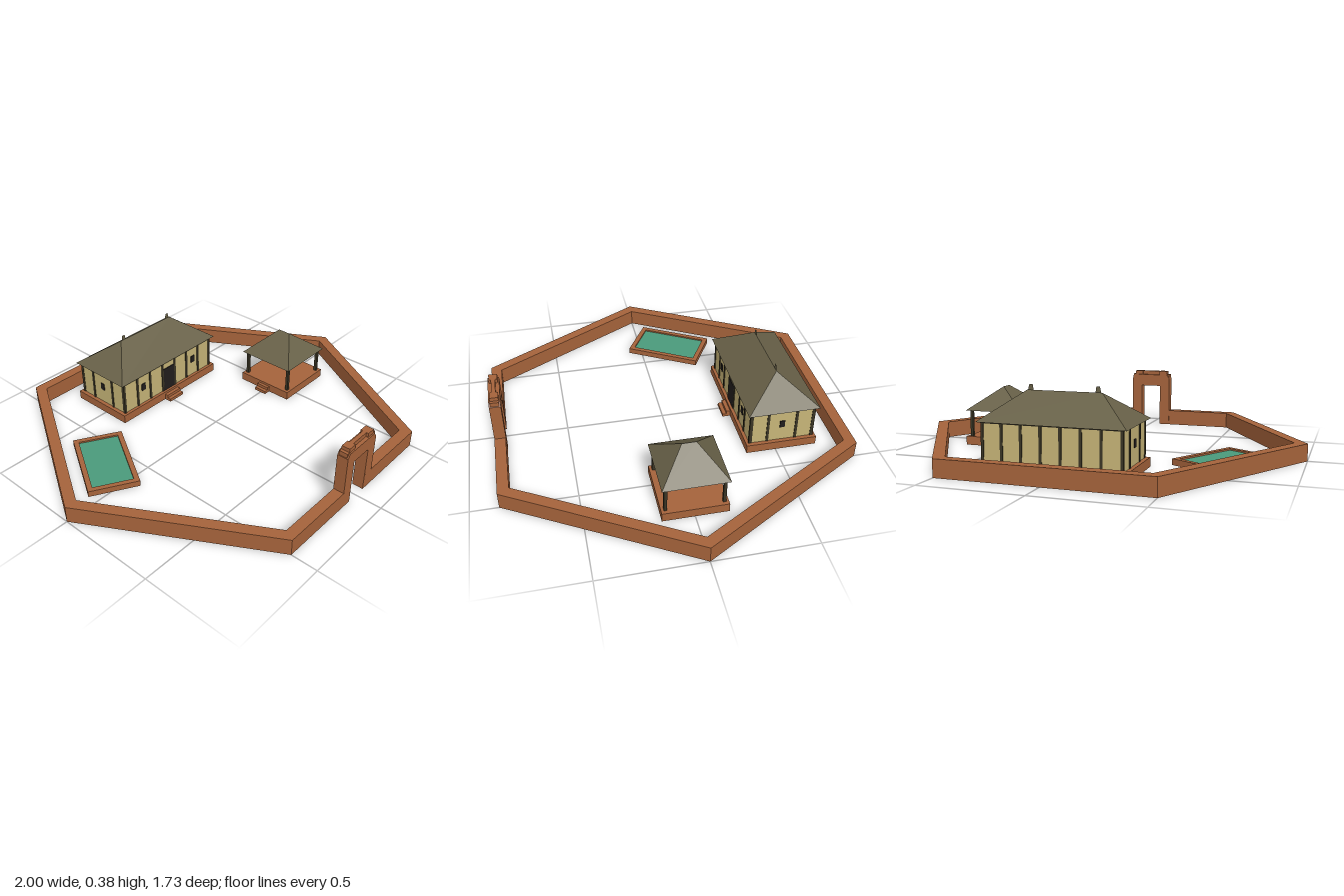
import * as THREE from 'three';

const mat = (color) => new THREE.MeshStandardMaterial({ color, flatShading: true, side: THREE.DoubleSide });
const clay = mat(0xa5633b), thatch = mat(0x676047), plaster = mat(0xc6b477);
const timber = mat(0x393424), dark = mat(0x211d1c), water = mat(0x4a9a7b);

function add(parent, name, geo, material, x = 0, y = 0, z = 0) {
  const m = new THREE.Mesh(geo, material);
  m.name = name;
  m.position.set(x, y, z);
  parent.add(m);
  return m;
}

// Box standing on height y
const box = (parent, name, material, w, h, d, x, y, z) =>
  add(parent, name, new THREE.BoxGeometry(w, h, d), material, x, y + h / 2, z);

const group = (parent, name, x, z) => {
  const g = new THREE.Group();
  g.name = name;
  g.position.set(x, 0, z);
  parent.add(g);
  return g;
};

const toShape = (pts) => new THREE.Shape(pts.map(([x, y]) => new THREE.Vector2(x, y)));
const extrude = (shape, depth) => new THREE.ExtrudeGeometry(shape, { depth, bevelEnabled: false });

// Rectangular frame, open in the middle, standing on y = 0
function frame(parent, name, w, d, h, t) {
  const rect = (a, b) => [[-a, -b], [a, -b], [a, b], [-a, b]];
  const s = toShape(rect(w / 2, d / 2));
  s.holes.push(toShape(rect(w / 2 - t, d / 2 - t)));
  add(parent, name, extrude(s, h).rotateX(-Math.PI / 2), clay);
}

// Four slopes from a rectangular eave up to a ridge line
function hipRoof(parent, w, d, ridgeX, ridgeZ, y, h) {
  const ring = (a, b, v) => [[-a, v, b], [a, v, b], [a, v, -b], [-a, v, -b]];
  const low = ring(w / 2, d / 2, 0), high = ring(ridgeX, ridgeZ, h), pos = [];
  for (let i = 0; i < 4; i++) {
    const j = (i + 1) % 4;
    pos.push(...low[i], ...low[j], ...high[j]);
    pos.push(...low[i], ...high[j], ...high[i]);
  }
  const g = new THREE.BufferGeometry();
  g.setAttribute('position', new THREE.Float32BufferAttribute(pos, 3));
  g.computeVertexNormals();
  add(parent, 'roof', g, thatch, 0, y, 0);
}

// Two steps leading out along +z
function steps(parent, w, z, angle = 0) {
  const g = group(parent, 'steps', 0, 0);
  g.rotation.y = angle;
  box(g, 'upperStep', clay, w, 0.032, 0.02, 0, 0, z + 0.01);
  box(g, 'lowerStep', clay, w, 0.016, 0.04, 0, 0, z + 0.02);
}

// Six-sided boundary wall with a gap at the front
function buildWall(root) {
  const gap = 0.057, pts = [];
  const corner = (r, i) => {
    const a = -Math.PI / 3 + i * Math.PI / 3;
    return [r * Math.cos(a), r * Math.sin(a)];
  };
  const apothem = Math.sqrt(3) / 2, inner = 0.937;
  pts.push([gap, -apothem]);
  for (let i = 0; i < 6; i++) pts.push(corner(1, i));
  pts.push([-gap, -apothem], [-gap, -apothem * inner]);
  for (let i = 5; i >= 0; i--) pts.push(corner(inner, i));
  pts.push([gap, -apothem * inner]);
  add(root, 'boundaryWall', extrude(toShape(pts), 0.085).rotateX(-Math.PI / 2), clay);
}

// Gateway with stepped coping
function buildGate(root) {
  const g = group(root, 'gateway', 0, 0.838);
  const arch = toShape([[-0.115, 0], [-0.057, 0], [-0.057, 0.235], [0.057, 0.235], [0.057, 0],
    [0.115, 0], [0.115, 0.28], [0.1, 0.302], [-0.1, 0.302], [-0.115, 0.28]]);
  add(g, 'gateArch', extrude(arch, 0.056), clay, 0, 0, -0.028);
  box(g, 'coping', clay, 0.19, 0.022, 0.02, 0, 0.302, 0);
  for (const s of [-1, 1]) {
    box(g, 'copingBlock', clay, 0.045, 0.022, 0.042, s * 0.075, 0.302, 0);
    box(g, 'shoulderBlock', clay, 0.018, 0.025, 0.042, s * 0.104, 0.28, 0);
  }
}

function buildHouse(root) {
  const g = group(root, 'house', 0.024, -0.53);
  const W = 0.65, D = 0.318, y = 0.045, H = 0.185;
  frame(g, 'housePlinth', 0.7, 0.36, y, 0.03);
  for (const s of [-1, 1]) {
    box(g, 'longWall', plaster, W, H, 0.008, 0, y, s * D / 2);
    box(g, 'endWall', plaster, 0.008, H, D, s * W / 2, y, 0);
    // Upright timbers along the long and short sides
    for (let i = 0; i <= 7; i++)
      box(g, 'timberPost', timber, 0.013, H, 0.016, -W / 2 + i * W / 7, y, s * D / 2);
    for (const z of [-0.073, 0.073])
      box(g, 'timberPost', timber, 0.016, H, 0.013, s * W / 2, y, z);
    box(g, 'wallPlate', timber, W + 0.012, 0.01, 0.014, 0, y + H - 0.01, s * D / 2);
    box(g, 'wallPlate', timber, 0.014, 0.01, D, s * W / 2, y + H - 0.01, 0);
    // Windows beside the door and on each end
    box(g, 'frontWindow', dark, 0.027, 0.04, 0.016, s * 0.19, 0.124, D / 2);
    box(g, 'endWindow', dark, 0.016, 0.038, 0.025, s * W / 2, 0.123, 0);
    // Small ridge end plates
    const plate = toShape([[-0.02, -0.03], [0.02, -0.03], [0.01, 0.028], [-0.006, 0.028]]);
    const fin = add(g, 'ridgePlate', new THREE.ShapeGeometry(plate), thatch, s * 0.163, 0.355, 0);
    fin.scale.x = -s;
  }
  box(g, 'door', dark, 0.086, 0.135, 0.016, 0, y, D / 2);
  hipRoof(g, 0.702, 0.362, 0.18, 0, 0.226, 0.13);
  steps(g, 0.098, 0.18);
}

function buildPavilion(root) {
  const g = group(root, 'pavilion', 0.574, -0.003);
  frame(g, 'pavilionPlinth', 0.322, 0.316, 0.045, 0.025);
  box(g, 'pavilionFloor', clay, 0.28, 0.012, 0.274, 0, 0.033, 0);
  for (const x of [-1, 1])
    for (const z of [-1, 1])
      box(g, 'pavilionPost', timber, 0.015, 0.15, 0.015, x * 0.135, 0.045, z * 0.137);
  hipRoof(g, 0.324, 0.316, 0, 0.034, 0.182, 0.12);
  steps(g, 0.07, 0.158, -Math.PI / 2);
}

function buildPool(root) {
  const g = group(root, 'pool', -0.621, -0.168);
  g.rotation.y = -Math.PI / 6;
  frame(g, 'poolRim', 0.248, 0.408, 0.03, 0.025);
  add(g, 'water', new THREE.PlaneGeometry(0.2, 0.36).rotateX(-Math.PI / 2), water, 0, 0.022, 0);
}

export function createModel() {
  const root = new THREE.Group();
  root.name = 'walledCompound';
  buildWall(root);
  buildGate(root);
  buildHouse(root);
  buildPavilion(root);
  buildPool(root);
  return root;
}
